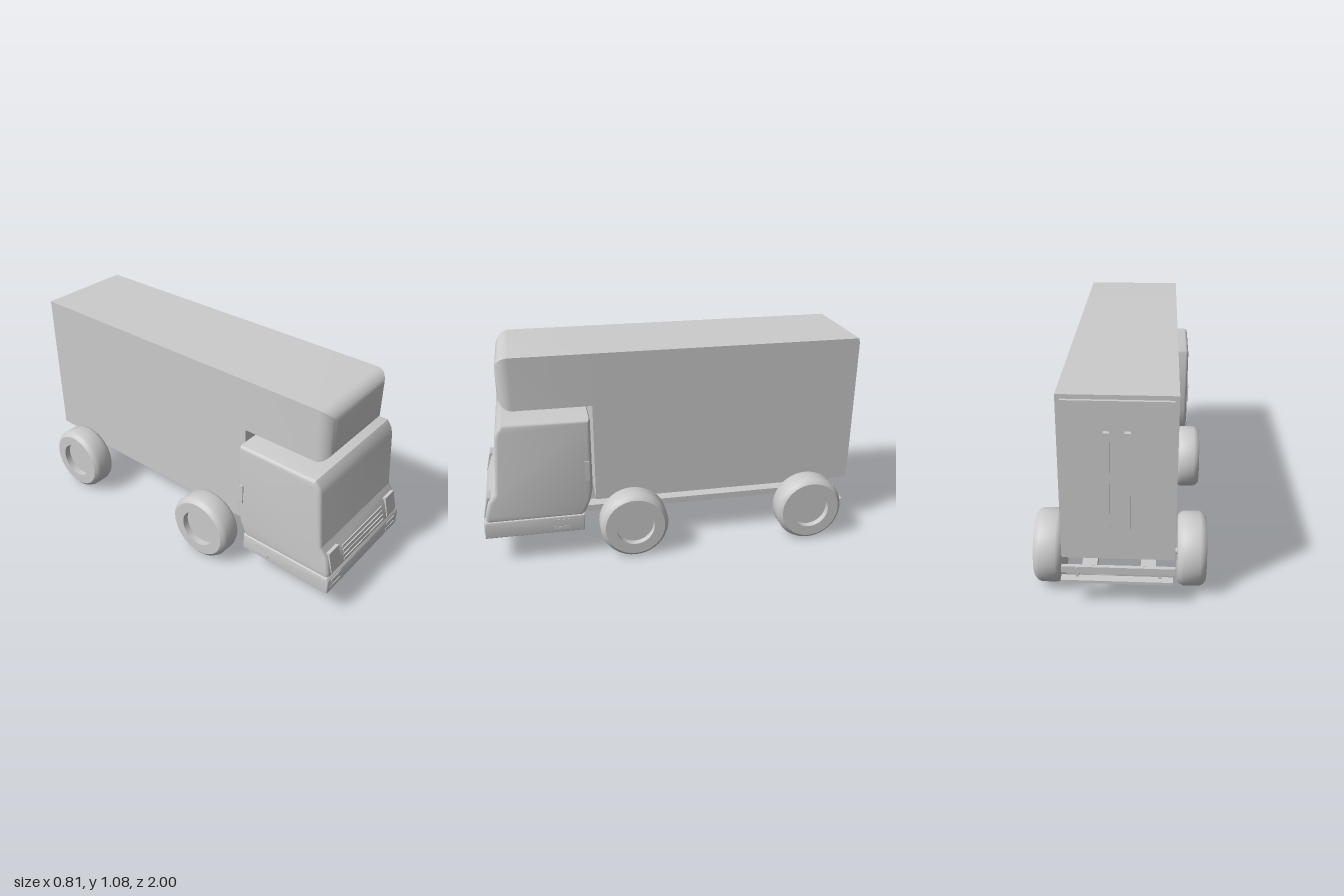
import * as THREE from 'three';
import { toCreasedNormals } from 'three/addons/utils/BufferGeometryUtils.js';

const material = new THREE.MeshStandardMaterial({ color: 0xcccccc });

export function createModel() {
  const truck = new THREE.Group();
  truck.name = 'boxTruck';

  const add = (name, geometry, x = 0, y = 0, z = 0) => {
    const mesh = new THREE.Mesh(geometry, material);
    mesh.name = name;
    mesh.position.set(x, y, z);
    truck.add(mesh);
    return mesh;
  };
  // Box given by its limits on each axis
  const box = (name, x0, x1, y0, y1, z0, z1) =>
    add(name, new THREE.BoxGeometry(x1 - x0, y1 - y0, z1 - z0), (x0 + x1) / 2, (y0 + y1) / 2, (z0 + z1) / 2);
  // Side profile of [z, y] points, extruded across the width
  const sideProfile = (points, width, bevel) => {
    const g = new THREE.ExtrudeGeometry(new THREE.Shape(points.map(p => new THREE.Vector2(...p))), {
      depth: width - 2 * bevel, bevelEnabled: true, bevelSize: bevel, bevelOffset: -bevel,
      bevelThickness: bevel, bevelSegments: 3,
    });
    g.translate(0, 0, bevel - width / 2);
    g.rotateY(-Math.PI / 2);
    return toCreasedNormals(g, 0.6);
  };

  // Cargo body and the overhang above the cab
  box('cargoBody', -0.255, 0.255, 0.285, 1.08, -0.965, 0.42);
  add('cabOverhang', overhangGeometry());

  // Rear door with two upright bars
  box('rearDoor', -0.235, 0.235, 0.31, 1.06, -0.98, -0.96);
  for (const s of [-1, 1]) box('doorBar', s * 0.045 - 0.013, s * 0.045 + 0.013, 0.465, 0.925, -1, -0.975);

  // Cab with raked windscreen and cut-away rear lower corner
  add('cab', sideProfile([
    [0.5, 0.24], [0.985, 0.24], [0.985, 0.28], [0.965, 0.355], [0.93, 0.4], [0.905, 0.7], [0.895, 0.735],
    [0.87, 0.77], [0.445, 0.77], [0.44, 0.76], [0.44, 0.39], [0.455, 0.32], [0.475, 0.27],
  ], 0.67, 0.018));
  add('bumper', sideProfile([[0.49, 0.16], [0.995, 0.16], [0.995, 0.235], [0.985, 0.25], [0.49, 0.25]], 0.684, 0.006));

  // Grille slats
  for (let i = 0; i < 4; i++) {
    const y = 0.272 + i * 0.024, z = 0.984 - i * 0.006;
    box('grilleSlat', -0.19, 0.19, y - 0.006, y + 0.006, z - 0.02, z + 0.006);
  }

  for (const s of [-1, 1]) {
    // Headlights, bumper lamps, side slots and door handles
    const light = add('headlight', new THREE.BoxGeometry(0.086, 0.11, 0.03), s * 0.267, 0.32, 0.966);
    light.rotation.x = -0.22;
    for (const y of [0.183, 0.222]) {
      add('bumperLamp', new THREE.BoxGeometry(0.086, 0.017, 0.01), s * 0.267, y, 0.993);
      add('sideSlot', new THREE.BoxGeometry(0.008, 0.014, 0.08), s * 0.34, y + 0.005, 0.607);
    }
    add('doorHandle', new THREE.BoxGeometry(0.015, 0.105, 0.022), s * 0.334, 0.495, 0.465);
    // Chassis rails
    add('chassisRail', new THREE.BoxGeometry(0.07, 0.035, 1.42), s * 0.135, 0.188, -0.2);
    add('tailBracket', new THREE.BoxGeometry(0.014, 0.065, 0.014), s * 0.19, 0.172, -0.922);
  }

  // Tail bars below the rear door
  box('tailCrossbar', -0.26, 0.265, 0.17, 0.205, -0.925, -0.905);
  box('tailStep', -0.25, 0.265, 0.14, 0.154, -0.957, -0.915);

  // Axles and wheels
  const wheelGeometry = makeWheel();
  for (const z of [0.235, -0.715]) {
    const axle = add('axle', new THREE.CylinderGeometry(0.016, 0.016, 0.6, 16), 0, 0.183, z - 0.03);
    axle.rotation.z = Math.PI / 2;
    for (const s of [-1, 1]) {
      const wheel = add('wheel', wheelGeometry, s * 0.27, 0.182, z);
      if (s < 0) wheel.rotation.y = Math.PI;
    }
  }
  return truck;
}

// Rectangular sections along z whose front edges curve inward
function overhangGeometry() {
  const r = 0.07, halfW = 0.255, halfH = 0.135, midY = 0.945, steps = 8;
  const sections = [[0.4, 0]];
  for (let i = 0; i <= steps; i++) {
    const a = (i / steps) * Math.PI / 2;
    sections.push([0.81 + r * Math.sin(a), r * (1 - Math.cos(a))]);
  }
  const corners = [[-1, -1], [1, -1], [1, 1], [-1, 1]];
  const pos = [], index = [];
  for (const [z, inset] of sections)
    for (const [cx, cy] of corners) pos.push(cx * (halfW - inset), midY + cy * (halfH - inset), z);
  for (let i = 0; i < sections.length - 1; i++)
    for (let j = 0; j < 4; j++) {
      const a = i * 4 + j, b = i * 4 + (j + 1) % 4;
      index.push(a, b, b + 4, a, b + 4, a + 4);
    }
  const f = (sections.length - 1) * 4;
  index.push(f, f + 1, f + 2, f, f + 2, f + 3);
  const g = new THREE.BufferGeometry();
  g.setAttribute('position', new THREE.Float32BufferAttribute(pos, 3));
  g.setIndex(index);
  return toCreasedNormals(g, 0.6);
}

// Tyre with bevelled shoulders and a recessed hub, outer side towards +x
function makeWheel() {
  const profile = [
    [0, 0], [0.155, 0], [0.17, 0.012], [0.178, 0.03], [0.178, 0.105], [0.17, 0.123],
    [0.155, 0.135], [0.1, 0.135], [0.1, 0.1], [0, 0.1],
  ].map(p => new THREE.Vector2(...p));
  const g = new THREE.LatheGeometry(profile, 40);
  g.rotateZ(-Math.PI / 2);
  return toCreasedNormals(g, 0.5);
}
